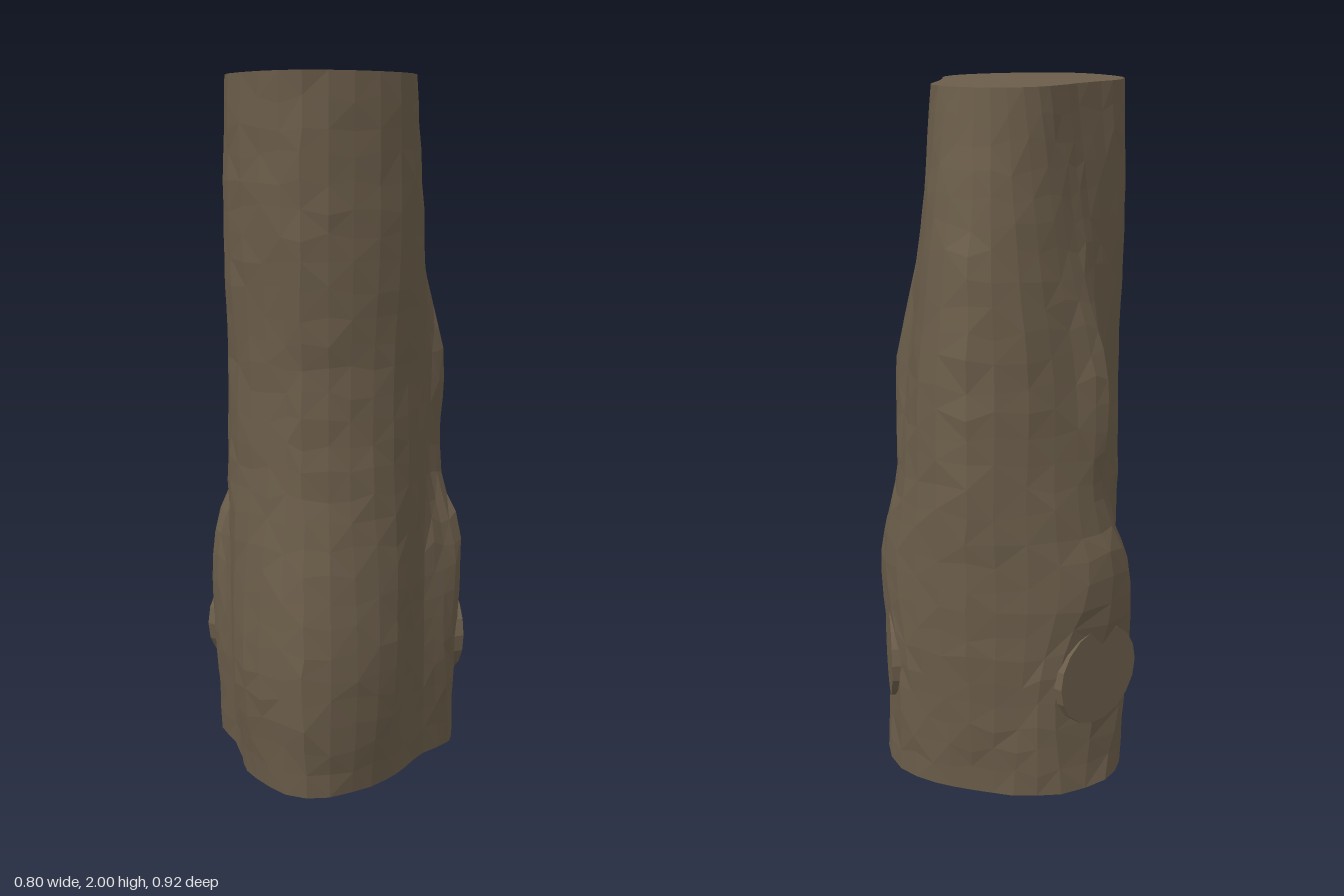
import * as THREE from 'three';

// Half outlines [x, z] from front centre to back centre, one per height
const sections = [
  [0.0, [0, .42, .12, .355, .205, .25, .245, .15, .29, .03, .36, -.08, .345, -.20, .25, -.325, .12, -.375, 0, -.38]],
  [0.34, [0, .46, .14, .39, .235, .285, .25, .18, .29, .07, .345, .005, .375, -.08, .24, -.345, .15, -.39, 0, -.425]],
  [0.65, [0, .43, .13, .38, .235, .27, .27, .16, .29, .055, .34, -.02, .38, -.11, .31, -.27, .17, -.39, 0, -.44]],
  [0.85, [0, .40, .115, .365, .225, .265, .28, .14, .285, .02, .29, -.08, .315, -.15, .275, -.26, .16, -.385, 0, -.455]],
  [1.2, [0, .40, .115, .36, .22, .265, .275, .14, .285, 0, .29, -.08, .32, -.13, .25, -.215, .16, -.36, 0, -.455]],
  [1.55, [0, .44, .125, .385, .24, .27, .285, .14, .275, .03, .255, -.08, .235, -.15, .20, -.235, .125, -.35, 0, -.415]],
  [2.0, [0, .46, .13, .40, .235, .28, .265, .15, .235, .05, .20, -.07, .18, -.17, .15, -.25, .08, -.31, 0, -.33]],
];
const ROWS = 28, COLS = 36, HALF = 10;

// Repeatable value in -1..1
const jitter = (i, j) => {
  const s = Math.sin(i * 127.1 + j * 311.7) * 43758.5453;
  return (s - Math.floor(s)) * 2 - 1;
};

// Rings of points from bottom to top, evenly spaced in height
function makeRings() {
  const ribs = [];
  for (let k = 0; k < HALF; k++) {
    ribs.push(new THREE.CatmullRomCurve3(
      sections.map(([y, p]) => new THREE.Vector3(p[2 * k], y, p[2 * k + 1]))));
  }
  const rings = [];
  for (let i = 0; i <= ROWS; i++) {
    const half = ribs.map((r) => r.getPointAt(i / ROWS));
    const other = half.slice(1, -1).reverse().map((p) => new THREE.Vector3(-p.x, p.y, p.z));
    const loop = new THREE.CatmullRomCurve3([...half, ...other], true);
    const inner = i > 0 && i < ROWS;
    const ring = [];
    for (let j = 0; j < COLS; j++) {
      const p = loop.getPoint(j / COLS);
      const s = 1 + 0.008 * jitter(i, j);
      p.x *= s;
      p.z *= s;
      if (inner) p.y += 0.014 * jitter(i + 50, j);
      else p.y = i ? 2 : 0;
      // jagged, wandering ridge at front and back
      if (inner && j % (COLS / 2) === 0) {
        p.x += -0.025 * Math.sin(Math.PI * i / ROWS) * (i / ROWS) + 0.006 * jitter(i, 99);
        p.z += Math.sign(p.z) * 0.005 * jitter(i, 77);
      }
      ring.push(p);
    }
    rings.push(ring);
  }
  return rings;
}

function fromTriangles(points) {
  const g = new THREE.BufferGeometry().setFromPoints(points);
  g.computeVertexNormals();
  return g;
}

export function createModel() {
  const bark = new THREE.MeshStandardMaterial({ color: 0x6b5d4a, flatShading: true });
  bark.name = 'brown bark';
  const model = new THREE.Group();
  model.name = 'trunk';
  const add = (name, geometry) => {
    const m = new THREE.Mesh(geometry, bark);
    m.name = name;
    model.add(m);
  };

  // Bark side wall and sawn ends
  const rings = makeRings();
  const wall = [], top = [], bottom = [];
  const topMid = new THREE.Vector3(0, 2, 0.05), lowMid = new THREE.Vector3(0, 0, 0);
  for (let j = 0; j < COLS; j++) {
    const n = (j + 1) % COLS;
    for (let i = 0; i < ROWS; i++) {
      const a = rings[i][j], b = rings[i][n], c = rings[i + 1][n], d = rings[i + 1][j];
      wall.push(...((i + j) % 2 ? [a, b, c, a, c, d] : [a, b, d, b, c, d]));
    }
    top.push(topMid, rings[ROWS][j], rings[ROWS][n]);
    bottom.push(lowMid, rings[0][n], rings[0][j]);
  }
  add('barkWall', fromTriangles(wall));
  add('topCut', fromTriangles(top));
  add('bottomCut', fromTriangles(bottom));

  // Cut branch stubs, slightly oval, facing outwards and a little back
  const tilt = 0.46;
  for (const side of [1, -1]) {
    const stub = new THREE.CylinderGeometry(0.145, 0.15, 0.1, 18);
    stub.translate(0, -0.05, 0);
    stub.rotateZ(-Math.PI / 2);
    stub.scale(1, 1, 1.09);
    stub.rotateY(side > 0 ? tilt : Math.PI - tilt);
    stub.translate(side * 0.328, 0.342, -0.217);
    add(side > 0 ? 'leftBranchStub' : 'rightBranchStub', stub);
  }
  return model;
}
